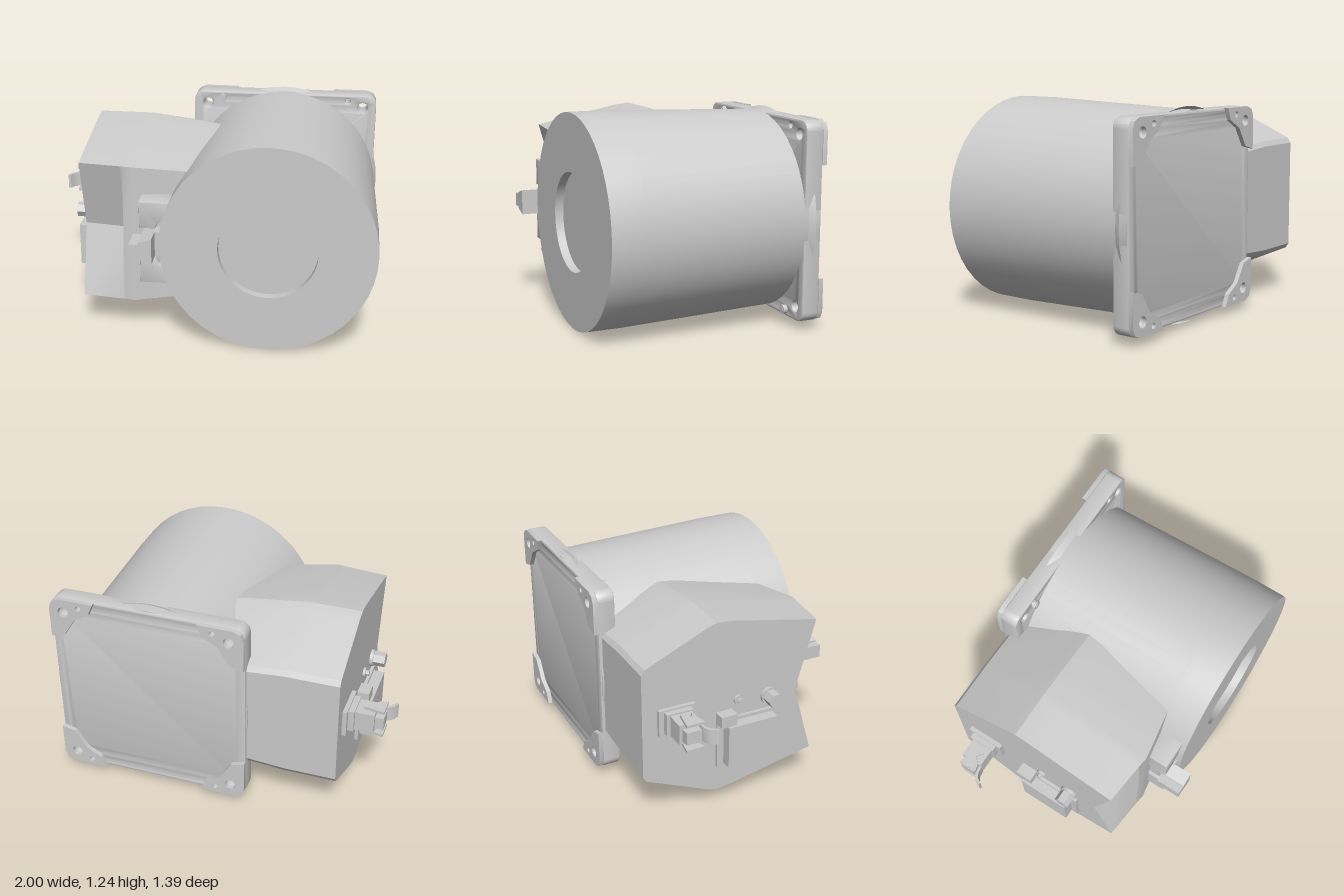
import * as THREE from 'three';
import { toCreasedNormals } from 'three/addons/utils/BufferGeometryUtils.js';

const CX = 0.375, CY = 0.62;
const material = new THREE.MeshStandardMaterial({ color: 0xcccccc, side: THREE.DoubleSide });

export function createModel() {
  const model = new THREE.Group();
  const add = (name, geometry) => {
    const mesh = new THREE.Mesh(geometry, material);
    mesh.name = name;
    model.add(mesh);
    return mesh;
  };
  // Box given by its limits on each axis
  const box = (name, x0, x1, y0, y1, z0, z1) =>
    add(name, new THREE.BoxGeometry(x1 - x0, y1 - y0, z1 - z0))
      .position.set((x0 + x1) / 2, (y0 + y1) / 2, (z0 + z1) / 2);
  const extrude = (shape, depth, bevel = 0) => toCreasedNormals(new THREE.ExtrudeGeometry(shape, {
    depth: depth - 2 * bevel, bevelEnabled: bevel > 0, bevelSize: bevel, bevelOffset: -bevel,
    bevelThickness: bevel, bevelSegments: 2, curveSegments: 8,
  }).translate(0, 0, bevel), 0.6);
  const polygon = (pts) => new THREE.Shape(pts.map(([x, y]) => new THREE.Vector2(x, y)));
  const hole = (x, y, r) => new THREE.Path().absarc(x, y, r, 0, Math.PI * 2, true);

  // Tapered main drum with a shallow round recess in its front
  const profile = [[0, -0.66], [0.585, -0.66], [0.62, 0.4], [0.62, 0.6], [0.285, 0.6], [0.285, 0.55], [0, 0.55]]
    .map(([r, z]) => new THREE.Vector2(r, z));
  const drum = add('drum', toCreasedNormals(new THREE.LatheGeometry(profile, 48), 0.6));
  drum.rotation.x = Math.PI / 2;
  drum.position.set(CX, CY, 0);

  // Mounting plate with through holes at the corners
  const [px0, px1, py0, py1, r] = [-0.2, 0.955, 0.05, 1.2, 0.06];
  const plate = new THREE.Shape();
  plate.absarc(px1 - r, py0 + r, r, -Math.PI / 2, 0);
  plate.absarc(px1 - r, py1 - r, r, 0, Math.PI / 2);
  plate.absarc(px0 + r, py1 - r, r, Math.PI / 2, Math.PI);
  plate.absarc(px0 + r, py0 + r, r, Math.PI, Math.PI * 1.5);
  for (const sx of [0, 1]) for (const sy of [0, 1]) {
    const cx = sx ? px1 : px0, cy = sy ? py1 : py0, dx = sx ? -1 : 1, dy = sy ? -1 : 1;
    const at = (a, b) => [cx + dx * a, cy + dy * b];
    const holes = () => [hole(...at(0.085, 0.08), 0.032), hole(...at(0.18, 0.04), 0.017)];
    plate.holes.push(...holes());
    // Raised foot behind each corner
    const foot = polygon([at(0.06, 0), at(0.27, 0), at(0.24, 0.07), at(0.15, 0.12), at(0.08, 0.23),
      at(0, 0.25), at(0, 0.06), at(0.018, 0.018)]);
    foot.holes.push(...holes());
    add('cornerFoot', extrude(foot, 0.028)).position.z = -0.697;
    // Locating bolt in two opposite corners
    if (sx !== sy) {
      const [bx, by] = at(0.18, 0.04);
      [[0.026, 0.025, -0.556, 16], [0.016, 0.12, -0.6, 6]].forEach(([rad, len, z, n]) => {
        const bolt = add('locatingBolt', new THREE.CylinderGeometry(rad, rad, len, n).toNonIndexed());
        bolt.geometry.computeVertexNormals();
        bolt.rotation.x = Math.PI / 2;
        bolt.position.set(bx, by, z + 0.006);
      });
    }
  }
  add('mountingPlate', extrude(plate, 0.105, 0.008)).position.z = -0.67;

  // Raised collar joining the drum to the plate
  const collar = new THREE.CylinderGeometry(0.59, 0.615, 0.05, 48, 1, true);
  const collarMesh = add('plateCollar', collar);
  collarMesh.rotation.x = Math.PI / 2;
  collarMesh.position.set(CX, CY, -0.6);
  collarMesh.scale.setScalar(0.985);

  // Side housing lofted along x: [x, height scale, front z, front notch z]
  const sections = [
    [-0.73, 1, 0.43, 0.31], [-0.49, 1, 0.455, 0.34], [-0.475, 1, 0.457, 0.457],
    [-0.42, 1, 0.465, 0.465], [-0.09, 0.925, 0.41, 0.41], [0.2, 0.84, 0.36, 0.36],
  ];
  const rings = sections.map(([x, k, zf, zn]) => [
    [-0.42, zf], [0, zn], [0.42, zf], [0.525, -0.1], [0.535, -0.2], [0.515, -0.26],
    [0.35, -0.63], [0.32, -0.65], [-0.32, -0.65], [-0.35, -0.63], [-0.515, -0.26], [-0.535, -0.2], [-0.525, -0.1],
  ].map(([y, z]) => [x, CY + y * k, z]));
  const pos = [];
  const n = rings[0].length;
  for (let i = 0; i < n; i++) {
    const j = (i + 1) % n;
    pos.push(...[-0.73, CY, -0.1], ...rings[0][i], ...rings[0][j]);
    for (let s = 0; s < rings.length - 1; s++) {
      const a = rings[s][i], b = rings[s][j], c = rings[s + 1][i], d = rings[s + 1][j];
      pos.push(...a, ...c, ...d, ...a, ...d, ...b);
    }
  }
  const housing = new THREE.BufferGeometry();
  housing.setAttribute('position', new THREE.Float32BufferAttribute(pos, 3));
  add('sideHousing', toCreasedNormals(housing, 0.35));

  // Front socket: back panel, upper and lower lobes, and a flared latch
  box('socketPanel', -0.3, -0.15, 0.5, 0.74, 0.38, 0.5);
  for (const s of [-1, 1]) {
    const lobe = polygon([[-0.36, s * 0.09], [-0.36, s * 0.25], [-0.17, s * 0.25], [-0.17, s * 0.13], [-0.25, s * 0.13], [-0.27, s * 0.09]]);
    add('socketLobe', extrude(lobe, 0.17, 0.006)).position.set(0, CY + 0.005, 0.4);
  }
  const latch = polygon([[-0.35, -0.05], [-0.27, -0.075], [-0.27, 0.075], [-0.35, 0.05]]);
  add('latchBody', extrude(latch, 0.23)).position.set(0, 0.625, 0.46);
  box('latchBridge', -0.28, -0.2, 0.55, 0.7, 0.46, 0.58);
  box('latchTip', -0.4, -0.34, 0.585, 0.665, 0.54, 0.69);

  // Cable connector on the end face, with flange, hood, clamps and curved lever
  box('connectorFlange', -0.755, -0.72, 0.55, 0.71, -0.56, -0.34);
  box('connectorBase', -0.79, -0.75, 0.57, 0.7, -0.53, -0.37);
  box('connectorHood', -0.9, -0.78, 0.57, 0.69, -0.51, -0.38);
  box('connectorCap', -0.95, -0.9, 0.59, 0.665, -0.49, -0.4);
  for (const y of [0.54, 0.695]) {
    const clamp = polygon([[-0.83, -0.47], [-0.95, -0.49], [-0.95, -0.38], [-0.91, -0.39], [-0.87, -0.43], [-0.83, -0.4]]);
    const mesh = add('connectorClamp', extrude(clamp, 0.016));
    mesh.rotation.x = Math.PI / 2;
    mesh.position.y = y + 0.016;
  }
  const lever = polygon([[-0.9, -0.39], [-0.95, -0.385], [-0.98, -0.365], [-1, -0.325], [-0.985, -0.325], [-0.965, -0.355], [-0.94, -0.37], [-0.9, -0.375]]);
  const leverMesh = add('connectorLever', extrude(lever, 0.09));
  leverMesh.rotation.x = Math.PI / 2;
  leverMesh.position.y = 0.67;

  // Junction box beside the connector
  box('junctionCover', -0.75, -0.72, 0.25, 0.55, -0.2, 0.19);
  box('junctionBox', -0.815, -0.74, 0.27, 0.53, -0.16, 0.15);
  box('junctionClip', -0.8, -0.73, 0.53, 0.6, -0.2, -0.1);

  // Hexagonal knob and small screw on the end face
  [['hexKnob', 0.045, 0.1, 0.63, 0.135, 6], ['hexKnobCollar', 0.052, 0.03, 0.63, 0.135, 16],
    ['endScrew', 0.03, 0.025, 0.65, -0.06, 12], ['endScrewHead', 0.016, 0.045, 0.65, -0.06, 6]]
    .forEach(([name, rad, len, y, z, sides]) => {
      const knob = add(name, toCreasedNormals(new THREE.CylinderGeometry(rad, rad, len, sides), 0.6));
      knob.rotation.z = Math.PI / 2;
      knob.position.set(-0.72 - len / 2, y, z);
    });
  return model;
}
